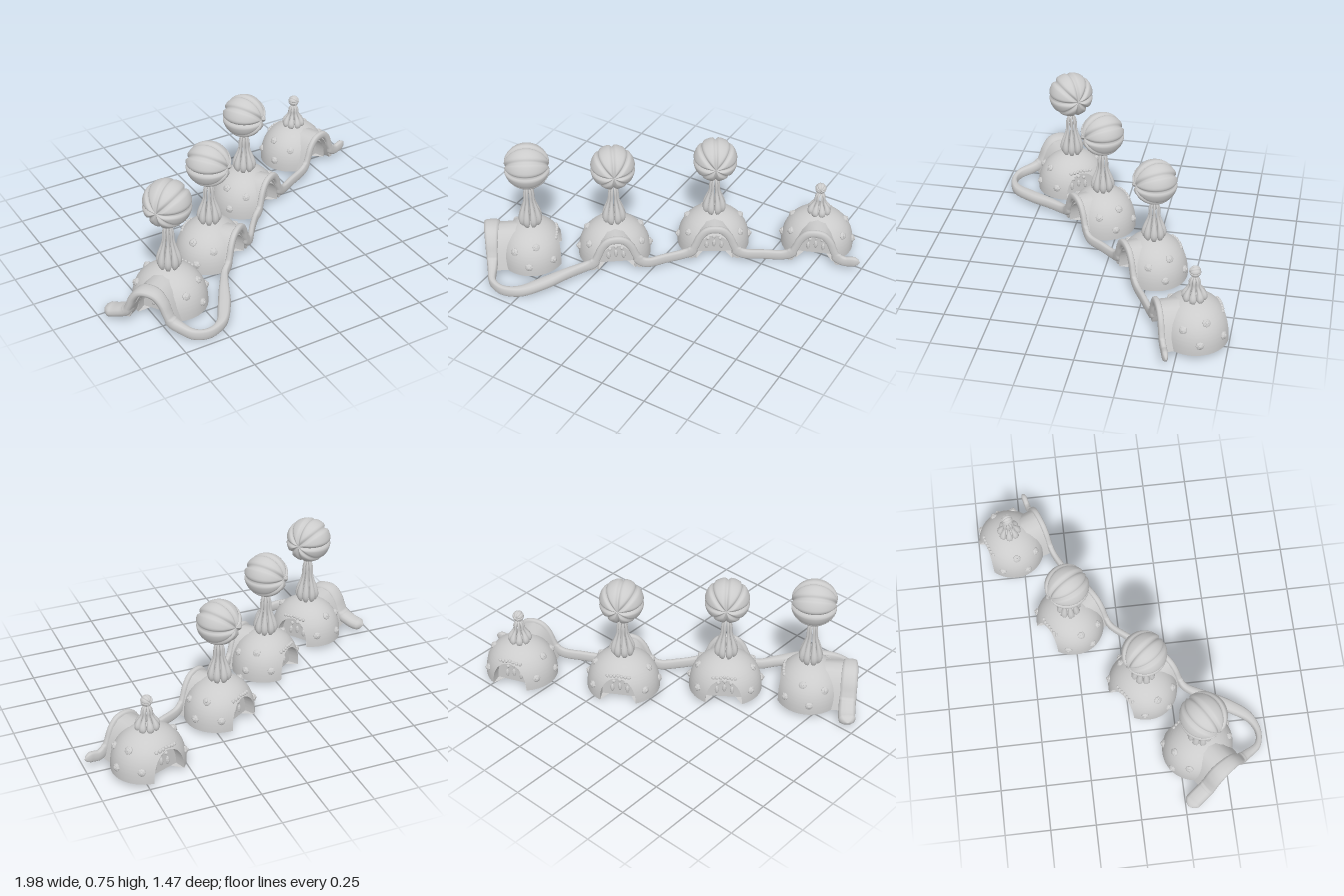
import * as THREE from 'three';
import { toCreasedNormals } from 'three/addons/utils/BufferGeometryUtils.js';

const mat = new THREE.MeshStandardMaterial({ color: 0xcccccc });
const flat = new THREE.MeshStandardMaterial({ color: 0xcccccc, flatShading: true });
const V = (x, y, z) => new THREE.Vector3(x, y, z);

function add(parent, name, geo, m = mat) {
  const mesh = new THREE.Mesh(geo, m);
  mesh.name = name;
  parent.add(mesh);
  return mesh;
}

// Skin over closed rings with equal point counts
function loft(rings) {
  const n = rings[0].length, pos = [], idx = [];
  rings.forEach(r => r.forEach(p => pos.push(p.x, p.y, p.z)));
  for (let i = 0; i < rings.length - 1; i++) {
    for (let j = 0; j < n; j++) {
      const a = i * n + j, b = i * n + (j + 1) % n;
      idx.push(a, a + n, b + n, a, b + n, b);
    }
  }
  const g = new THREE.BufferGeometry();
  g.setAttribute('position', new THREE.Float32BufferAttribute(pos, 3));
  g.setIndex(idx);
  g.computeVertexNormals();
  return g;
}

// Rounded section swept along a curve, closing at both ends
function sweep(curve, steps, sides, size, side) {
  const rings = [];
  for (let i = 0; i <= steps; i++) {
    const t = i / steps, p = curve.getPointAt(t), T = curve.getTangentAt(t);
    const H = side ? side.clone() : T.clone().cross(V(0, 1, 0)).normalize();
    const N = H.clone().cross(T);
    const end = Math.min(1, Math.sqrt(t * (1 - t) * steps / 3));
    const [w, h] = size(t, p);
    const ring = [];
    for (let j = 0; j < sides; j++) {
      const a = j / sides * Math.PI * 2;
      const round = v => Math.sign(v) * Math.pow(Math.abs(v), 0.7);
      ring.push(p.clone().addScaledVector(H, w * end * round(Math.cos(a)))
        .addScaledVector(N, h * end * round(Math.sin(a))));
    }
    rings.push(ring);
  }
  return loft(rings);
}

// Dome outline and the arched alcoves cut in its front and back
const BASE = 0.03, HEIGHT = 0.225, ALCOVE = 0.15, PANEL = 0.1, DEPTH = 0.92;
const domeRadius = y => 0.202 * Math.sqrt(Math.max(0, 1 - Math.pow((y - BASE) / HEIGHT, 2.5)));
const archHalf = y => 0.1 * Math.sqrt(Math.max(0, 1 - Math.pow((y - BASE) / ALCOVE, 2.4)));

function domeGeometry() {
  const rings = [], n = 44;
  for (let i = 0; i <= n; i++) {
    const y = BASE + HEIGHT * (1 - (i / n) ** 1.6);
    const R = domeRadius(y), a = archHalf(y);
    const edge = a > 0 ? Math.acos(a / R) : Math.PI / 2;
    const panel = a > 0 ? PANEL : R * DEPTH;
    const ring = [];
    for (const s of [1, -1]) {
      for (let k = 0; k <= 16; k++) {
        const f = edge * (1 - k / 8);
        ring.push(V(s * R * Math.cos(f), y, s * R * DEPTH * Math.sin(f)));
      }
      for (const q of [1, 0.33, -0.33, -1]) ring.push(V(s * a * q, y, -s * panel));
    }
    rings.push(ring);
  }
  rings.push(rings[n].map(() => V(0, BASE, 0)));
  return toCreasedNormals(loft(rings), 0.7);
}

// Bell curve of the porch arch, right half
const ARCH = [[0, 0.232], [0.045, 0.222], [0.082, 0.18], [0.105, 0.125], [0.128, 0.082], [0.17, 0.062]];

function porchGeometry(depth) {
  const half = [[0.142, BASE], [0.13, 0.075], [0.108, 0.14], [0.08, 0.195], [0.045, 0.23], [0, 0.24]];
  const pts = (dx, dy) => half.map(([x, y], i) => [Math.max(0, x - dx), i ? y - dy : y]);
  const mirror = h => h.concat(h.slice(0, -1).reverse().map(([x, y]) => [-x, y]));
  const outline = mirror(half).concat(mirror(pts(0.022, 0.022)).reverse());
  const shape = new THREE.Shape(outline.map(p => new THREE.Vector2(...p)));
  const g = new THREE.ExtrudeGeometry(shape, { depth: depth - 0.05, bevelEnabled: false });
  g.translate(0, 0, 0.05);
  return toCreasedNormals(g, 0.7);
}

// Ball of eight swollen segments, poles facing front and back
function ballGeometry(r) {
  const g = new THREE.SphereGeometry(r, 80, 28), p = g.attributes.position, v = V(0, 0, 0);
  for (let i = 0; i < p.count; i++) {
    v.fromBufferAttribute(p, i);
    const seg = Math.PI / 4, ang = Math.atan2(v.z, v.x);
    const d = Math.abs(ang - Math.round(ang / seg) * seg) * Math.hypot(v.x, v.z) / r;
    v.multiplyScalar(1 - 0.11 * Math.exp(-((d / 0.075) ** 2)));
    p.setXYZ(i, v.x, v.y, v.z);
  }
  g.rotateX(Math.PI / 2);
  g.computeVertexNormals();
  return g;
}

// Open cage of petals that carries the ball
function addFinial(parent, bottom, top) {
  const h = top - bottom, finial = new THREE.Group();
  finial.name = 'finial';
  const path = new THREE.CatmullRomCurve3(
    [[0.038, 0], [0.05, 0.16], [0.044, 0.36], [0.027, 0.62], [0.024, 0.82], [0.012, 0.97], [0.002, 1]]
      .map(([r, y]) => V(r, bottom + h * y, 0)));
  const petal = sweep(path, 24, 8, t => {
    const w = 0.007 + 0.012 * Math.exp(-(((t - 0.2) / 0.22) ** 2));
    return [w, w * 0.9];
  }, V(0, 0, 1));
  for (let i = 0; i < 8; i++) add(finial, 'petal', petal).rotation.y = (i + 0.5) * Math.PI / 4;
  parent.add(finial);
}

function addOrnaments(hut) {
  // Studs on both side lobes
  for (const s of [1, -1]) {
    for (const [deg, y] of [[-42, 0.1], [-12, 0.19], [4, 0.09], [34, 0.16]]) {
      const a = deg * Math.PI / 180, R = domeRadius(y);
      const slope = (domeRadius(y - 0.005) - domeRadius(y + 0.005)) / 0.01;
      const stud = add(hut, 'stud', new THREE.SphereGeometry(0.023, 8, 5), flat);
      stud.position.set(s * R * Math.cos(a), y, R * DEPTH * Math.sin(a));
      stud.quaternion.setFromUnitVectors(V(0, 1, 0), V(s * Math.cos(a), slope, Math.sin(a)).normalize());
      stud.scale.y = 0.55;
      const cap = add(stud, 'studCentre', new THREE.SphereGeometry(0.01, 8, 5), flat);
      cap.position.y = 0.021;
    }
  }
  // Pips on the front and back panels
  for (const s of [1, -1]) {
    for (const x of [-0.042, 0, 0.042]) {
      const lift = x ? 0 : 0.012;
      const low = add(hut, 'longPip', new THREE.SphereGeometry(0.011, 8, 6), flat);
      low.position.set(x, 0.075 + lift, s * PANEL);
      low.scale.y = 2.2;
      const high = add(hut, 'roundPip', new THREE.SphereGeometry(0.011, 8, 6), flat);
      high.position.set(x * 0.8, 0.122 + lift, s * PANEL);
    }
  }
  // Beads along the crest of the back arch
  for (let i = -3; i <= 3; i++) {
    const x = i * 0.02, y = 0.192 - Math.abs(i) * 0.003;
    const z = -DEPTH * Math.sqrt(domeRadius(y) ** 2 - x * x);
    add(hut, 'bead', new THREE.SphereGeometry(0.01, 8, 6), flat).position.set(x, y, z);
  }
}

export function createModel() {
  const model = new THREE.Group();
  model.name = 'hutsOnRibbon';
  // x, z, facing angle, porch depth, ball height, ball radius
  const huts = [
    [-0.63, 0.355, -0.98, 0.217, 0.633, 0.127],
    [-0.25, 0.095, 0.64, 0.165, 0.607, 0.122],
    [0.18, -0.27, 0.55, 0.163, 0.593, 0.121],
    [0.69, -0.56, 0.37, 0.19, 0.405, 0.031],
  ];
  // Ribbon points lying between the porches
  const links = [
    [[-0.965, 0.262, 0.045], [-0.93, 0.3, 0.048]],
    [[-0.665, 0.685, 0.042], [-0.59, 0.703, 0.033], [-0.5, 0.665, 0.035], [-0.42, 0.555, 0.045], [-0.35, 0.43, 0.055]],
    [[0.05, 0.04, 0.058]],
    [[0.5, -0.27, 0.06]],
  ];
  const dome = domeGeometry(), route = [];
  const bell = ARCH.slice(1).reverse().map(([x, y]) => [-x, y]).concat(ARCH);

  huts.forEach(([x, z, turn, depth, ballY, ballR], i) => {
    const hut = new THREE.Group();
    hut.name = 'hut' + (i + 1);
    hut.position.set(x, 0, z);
    hut.rotation.y = turn;
    model.add(hut);
    add(hut, 'dome', dome);
    add(hut, 'porch', porchGeometry(depth));
    addOrnaments(hut);
    addFinial(hut, 0.235, ballY - ballR * 0.95);
    add(hut, 'ball', ballGeometry(ballR)).position.y = ballY;

    links[i].forEach(([px, pz, py]) => route.push(V(px, py, pz)));
    const up = V(0, 1, 0);
    bell.forEach(([bx, by]) => route.push(V(bx, by, depth).applyAxisAngle(up, turn).add(V(x, 0, z))));
  });
  route.push(V(0.96, 0.07, -0.455), V(1, 0.07, -0.468));

  // Ribbon winding over every porch, broad at its left end and in the bend
  const ribbon = new THREE.CatmullRomCurve3(route, false, 'centripetal');
  ribbon.arcLengthDivisions = 1200;
  add(model, 'ribbon', sweep(ribbon, 320, 12, (t, p) => [
    0.016 + 0.03 * (1 - THREE.MathUtils.smoothstep(p.x, -0.86, -0.62)) + 0.018 * Math.exp(-(((p.x + 0.42) / 0.1) ** 2)),
    p.y > 0.1 ? 0.021 : 0.029,
  ]));
  return model;
}
